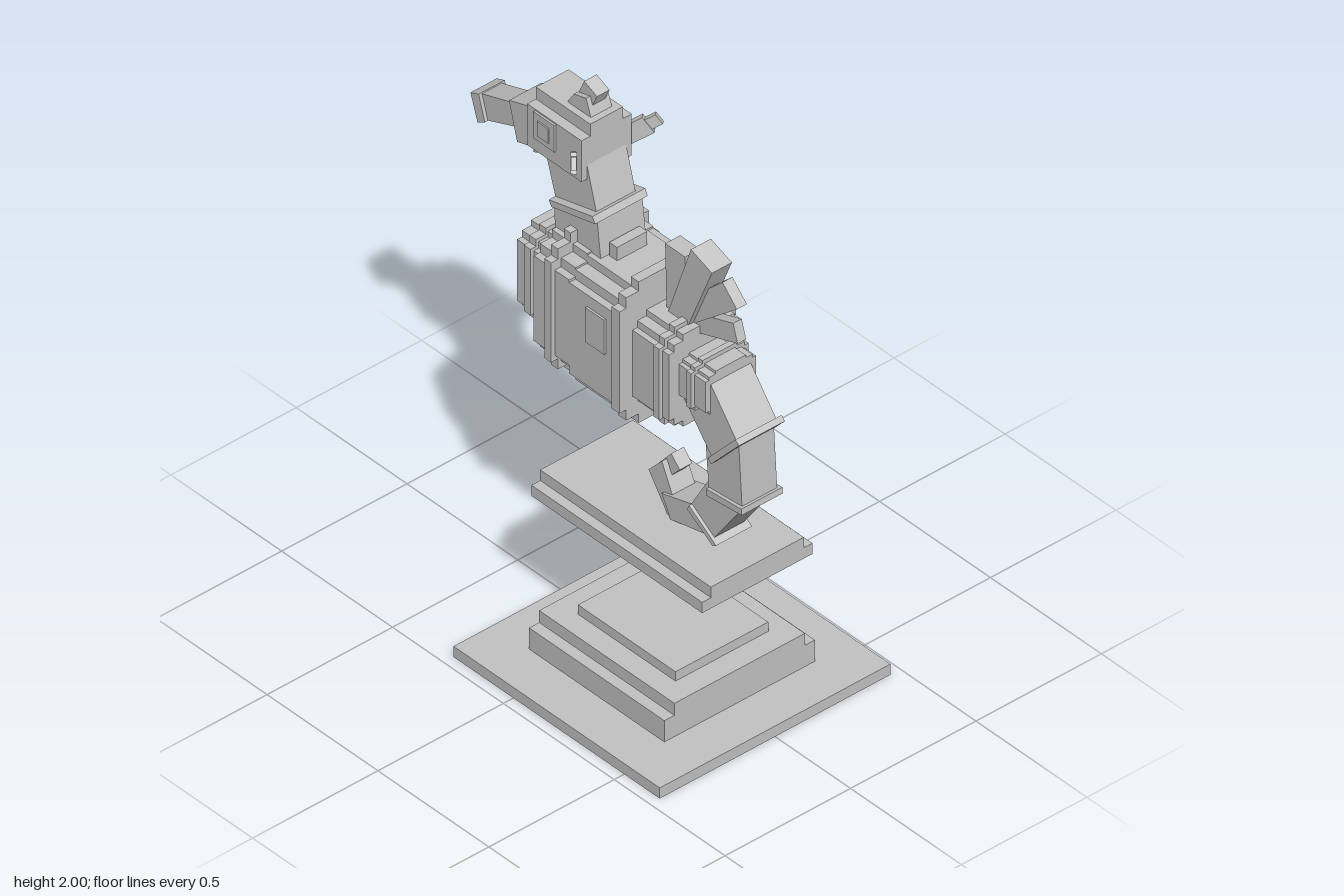
import * as THREE from 'three';

const stone = new THREE.MeshStandardMaterial({ color: 0xc4c4c4 });
stone.name = 'grey';

export function createModel() {
  const root = new THREE.Group();
  root.name = 'steppedSeahorse';

  const add = (name, geo, parent = root) => {
    const m = new THREE.Mesh(geo, stone);
    m.name = name;
    parent.add(m);
    return m;
  };
  // axis-aligned box from half width, y range and z range
  const slab = (name, w, y0, y1, z0, z1) =>
    add(name, new THREE.BoxGeometry(2 * w, y1 - y0, z1 - z0)).position.set(0, (y0 + y1) / 2, (z0 + z1) / 2);
  // side profile as [forward, y] pairs, extruded across x
  const profile = (name, w, pts) => {
    const shape = new THREE.Shape(pts.map(p => new THREE.Vector2(p[0], p[1])));
    const geo = new THREE.ExtrudeGeometry(shape, { depth: 2 * w, bevelEnabled: false });
    geo.translate(0, 0, -w).rotateY(Math.PI / 2);
    return add(name, geo);
  };
  // body slice with stepped corners, extruded along z
  const slice = (name, w, y0, y1, z0, z1) => {
    const c = (y0 + y1) / 2, h = (y1 - y0) / 2;
    const q = [[1, 0.72], [0.86, 0.72], [0.86, 0.87], [0.6, 0.87], [0.6, 1]];
    const r = [...q].reverse();
    const pts = [
      ...q, ...r.map(p => [-p[0], p[1]]),
      ...q.map(p => [-p[0], -p[1]]), ...r.map(p => [p[0], -p[1]]),
    ].map(p => new THREE.Vector2(p[0] * w, c + p[1] * h));
    const geo = new THREE.ExtrudeGeometry(new THREE.Shape(pts), { depth: z1 - z0, bevelEnabled: false });
    add(name, geo.translate(0, 0, z0));
  };

  // pedestal tiers and the floating platform
  slab('pedestalBase', 0.46, 0, 0.04, -0.27, 0.66);
  slab('pedestalTier', 0.30, 0.04, 0.12, -0.11, 0.50);
  slab('pedestalStep', 0.26, 0.12, 0.165, -0.11, 0.50);
  slab('pedestalTop', 0.185, 0.165, 0.20, -0.02, 0.42);
  slab('platformBase', 0.22, 0.53, 0.57, -0.19, 0.58);
  slab('platformTop', 0.185, 0.57, 0.61, -0.19, 0.58);

  // body slices and raised rings
  slice('tailRoot', 0.10, 1.13, 1.29, 0.34, 0.46);
  slice('tailRootRing', 0.115, 1.12, 1.305, 0.39, 0.41);
  slice('rump', 0.14, 1.025, 1.37, 0.16, 0.34);
  slice('rumpRing', 0.153, 1.015, 1.385, 0.285, 0.31);
  slice('bellyRing', 0.192, 0.96, 1.49, 0.14, 0.175);
  slice('belly', 0.18, 0.975, 1.45, -0.065, 0.16);
  slice('chest', 0.18, 1.01, 1.455, -0.225, -0.065);
  slice('chestRing', 0.195, 0.98, 1.50, -0.16, -0.13);
  slice('breast', 0.14, 1.09, 1.41, -0.345, -0.225);
  slice('breastRing', 0.153, 1.08, 1.425, -0.30, -0.27);
  slab('backBlock', 0.06, 1.42, 1.50, -0.02, 0.015);
  for (const s of [-1, 1]) {
    const plate = add('sidePanel', new THREE.BoxGeometry(0.009, 0.13, 0.085));
    plate.position.set(s * 0.183, 1.275, 0.058);
  }

  // neck
  profile('lowerNeck', 0.09, [[0.02, 1.41], [0.23, 1.44], [0.235, 1.54], [0.04, 1.58]]);
  profile('neckCollar', 0.105, [[0.033, 1.583], [0.23, 1.535], [0.242, 1.555], [0.045, 1.605]]);
  profile('upperNeck', 0.078, [[0.055, 1.59], [0.24, 1.545], [0.288, 1.70], [0.23, 1.78], [0.105, 1.77]]);

  // head, snout and crest
  slab('head', 0.10, 1.70, 1.855, -0.345, -0.10);
  slab('headTop', 0.065, 1.855, 1.90, -0.345, -0.10);
  profile('jaw', 0.075, [[0.265, 1.70], [0.345, 1.66], [0.345, 1.70]]);
  profile('snoutRoot', 0.065, [[0.33, 1.675], [0.43, 1.645], [0.467, 1.78], [0.33, 1.825]]);
  profile('snout', 0.04, [[0.437, 1.68], [0.592, 1.62], [0.62, 1.705], [0.455, 1.76]]);
  profile('snoutTip', 0.052, [[0.59, 1.62], [0.623, 1.60], [0.655, 1.695], [0.618, 1.71]]);
  profile('crestBase', 0.042, [[0.12, 1.89], [0.235, 1.89], [0.20, 1.945], [0.145, 1.96]]);
  profile('crestTip', 0.025, [[0.14, 1.92], [0.20, 1.94], [0.173, 2.0], [0.115, 1.975]]);

  for (const s of [-1, 1]) {
    // square eye: frame plate and pupil plate
    add('eyeFrame', new THREE.BoxGeometry(0.009, 0.10, 0.095)).position.set(s * 0.103, 1.80, -0.262);
    add('eyePupil', new THREE.BoxGeometry(0.009, 0.055, 0.05)).position.set(s * 0.108, 1.80, -0.262);

    // swept-back ear with a narrower tip
    const ear = new THREE.Group();
    ear.name = s > 0 ? 'leftEar' : 'rightEar';
    ear.position.set(s * 0.095, 1.75, -0.14);
    ear.lookAt(s * 0.175, 1.835, -0.05);
    add('earBlade', new THREE.BoxGeometry(0.02, 0.065, 0.11), ear).position.z = 0.045;
    add('earTip', new THREE.BoxGeometry(0.016, 0.04, 0.04), ear).position.z = 0.12;
    root.add(ear);
  }

  // curled tail segments with joint bands
  profile('tailSegment1', 0.08, [[-0.46, 1.25], [-0.58, 1.10], [-0.465, 0.98], [-0.34, 1.13]]);
  profile('tailBand1', 0.092, [[-0.60, 1.105], [-0.475, 0.965], [-0.46, 0.98], [-0.585, 1.12]]);
  profile('tailSegment2', 0.07, [[-0.575, 1.09], [-0.59, 0.86], [-0.44, 0.84], [-0.425, 1.02], [-0.48, 1.07]]);
  profile('tailBand2', 0.082, [[-0.602, 0.84], [-0.443, 0.823], [-0.441, 0.848], [-0.60, 0.862]]);
  profile('tailSegment3', 0.06, [[-0.58, 0.84], [-0.45, 0.655], [-0.345, 0.72], [-0.427, 0.86]]);
  profile('tailBand3', 0.072, [[-0.475, 0.648], [-0.46, 0.638], [-0.345, 0.71], [-0.353, 0.73]]);
  profile('tailSegment4', 0.055, [[-0.453, 0.655], [-0.25, 0.61], [-0.21, 0.685], [-0.355, 0.725]]);
  profile('tailSegment5', 0.045, [[-0.255, 0.61], [-0.225, 0.61], [-0.14, 0.73], [-0.20, 0.795], [-0.25, 0.69]]);
  profile('tailTip', 0.025, [[-0.20, 0.72], [-0.165, 0.76], [-0.22, 0.825], [-0.258, 0.785]]);

  // fan of dorsal fins
  profile('finRear', 0.017, [[-0.51, 1.40], [-0.32, 1.335], [-0.30, 1.40], [-0.49, 1.465]]);
  profile('finUpperRear', 0.02, [[-0.51, 1.53], [-0.32, 1.37], [-0.27, 1.43], [-0.445, 1.595]]);
  profile('finTall', 0.04, [[-0.42, 1.625], [-0.31, 1.36], [-0.22, 1.36], [-0.325, 1.66]]);
  profile('finFront', 0.03, [[-0.288, 1.605], [-0.28, 1.36], [-0.205, 1.36], [-0.198, 1.605]]);

  return root;
}
